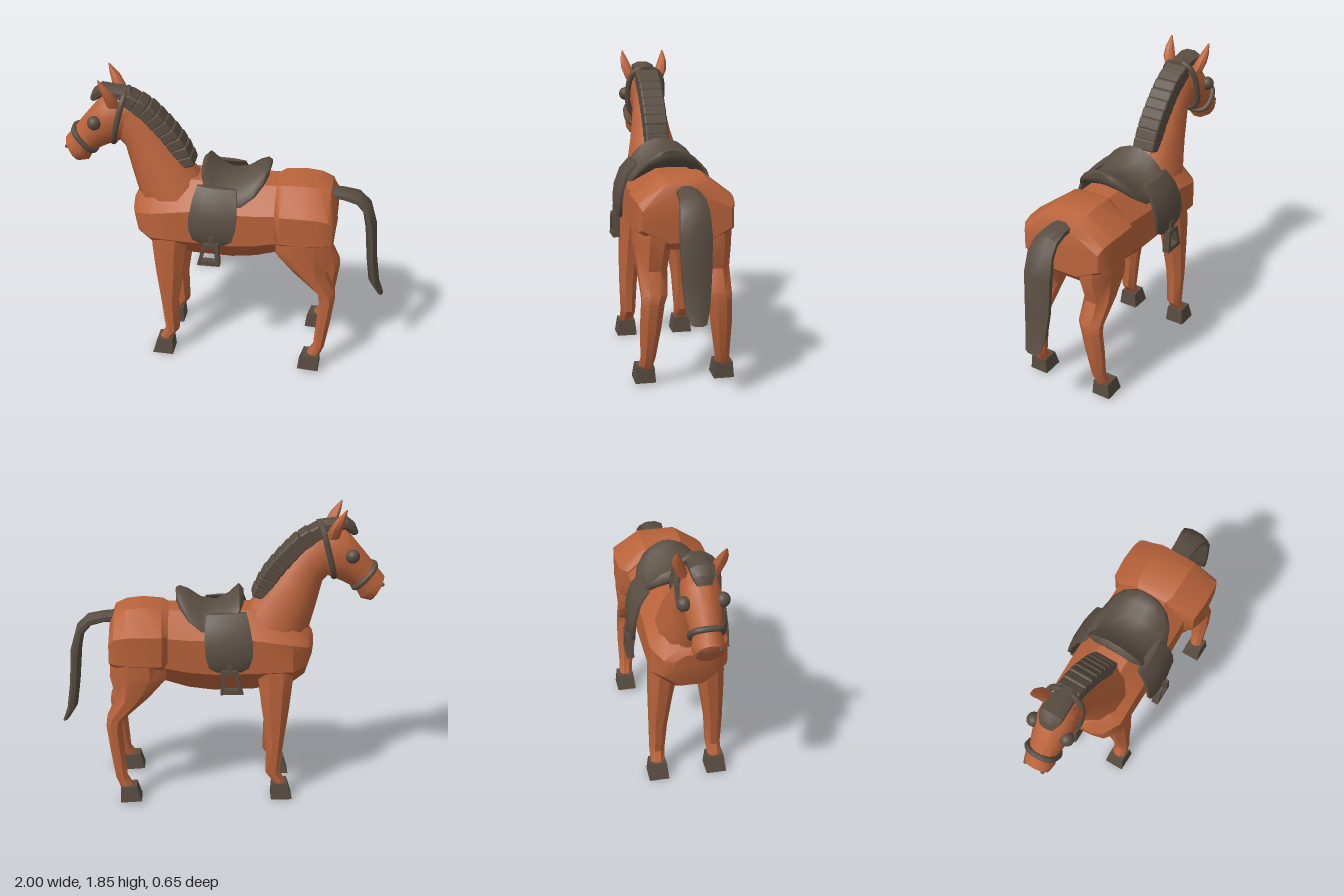
import * as THREE from 'three';
import { toCreasedNormals } from 'three/addons/utils/BufferGeometryUtils.js';
import { RoundedBoxGeometry } from 'three/addons/geometries/RoundedBoxGeometry.js';

const coat = new THREE.MeshStandardMaterial({ color: 0xb9633b });
coat.name = 'chestnutCoat';
const dark = new THREE.MeshStandardMaterial({ color: 0x594d42 });
dark.name = 'darkBrown';

// Skin over cross-sections. Each section is [x1, y1, x2, y2, halfWidth, zCentre]:
// an n-sided ring spanning two profile points and widened along z.
function loft(sections, { n = 8, side = 1, crease = 0.6, bend = null } = {}) {
  const pos = [], idx = [], fit = 1 / Math.cos(Math.PI / n);
  for (const [x1, y1, x2, y2, w, zc = 0] of sections) {
    for (let i = 0; i < n; i++) {
      const a = ((i + 0.5) / n) * Math.PI * 2;
      const c = Math.cos(a) * fit / 2, s = Math.sin(a) * fit;
      pos.push((x1 + x2) / 2 + c * (x1 - x2), (y1 + y2) / 2 + c * (y1 - y2), side * (zc + s * w));
    }
  }
  const last = sections.length - 1;
  for (const k of [0, last]) {
    const [x1, y1, x2, y2, , zc = 0] = sections[k];
    pos.push((x1 + x2) / 2, (y1 + y2) / 2, side * zc);
  }
  const c0 = n * (last + 1);
  for (let i = 0; i < n; i++) {
    const j = (i + 1) % n;
    for (let k = 0; k < last; k++) {
      const a = k * n + i, b = k * n + j;
      idx.push(a, b, b + n, a, b + n, a + n);
    }
    idx.push(c0, j, i, c0 + 1, last * n + i, last * n + j);
  }
  // turn the faces outwards whichever way the sections run
  const v = i => new THREE.Vector3().fromArray(pos, i * 3).sub(origin);
  const origin = new THREE.Vector3().fromArray(pos, c0 * 3);
  let volume = 0;
  for (let t = 0; t < idx.length; t += 3) volume += v(idx[t]).dot(v(idx[t + 1]).cross(v(idx[t + 2])));
  if (volume < 0) idx.reverse();
  const g = new THREE.BufferGeometry();
  g.setAttribute('position', new THREE.Float32BufferAttribute(pos, 3));
  g.setIndex(idx);
  if (bend) {
    const p = g.attributes.position;
    for (let i = 0; i < p.count; i++) p.setY(i, p.getY(i) + bend(p.getX(i), p.getZ(i)));
  }
  return toCreasedNormals(g, crease);
}

// Closed strap looping around the head between two profile points
function strap(x1, y1, x2, y2, w, r) {
  const pts = [];
  for (let i = 0; i < 16; i++) {
    const a = (i / 16) * Math.PI * 2;
    const soft = t => Math.sign(t) * Math.abs(t) ** 0.75;
    const c = soft(Math.cos(a)) / 2;
    pts.push(new THREE.Vector3((x1 + x2) / 2 + c * (x1 - x2), (y1 + y2) / 2 + c * (y1 - y2), soft(Math.sin(a)) * w));
  }
  return new THREE.TubeGeometry(new THREE.CatmullRomCurve3(pts, true), 48, r, 8, true);
}

export function createModel() {
  const horse = new THREE.Group();
  horse.name = 'horse';
  const add = (name, geometry, material) => {
    const m = new THREE.Mesh(geometry, material);
    m.name = name;
    horse.add(m);
    return m;
  };

  // Trunk
  add('barrel', loft([
    [-0.57, 1.04, -0.555, 0.9, 0.11], [-0.54, 1.08, -0.52, 0.79, 0.17], [-0.43, 1.15, -0.44, 0.74, 0.235],
    [-0.2, 1.215, -0.2, 0.7, 0.235], [0.05, 1.215, 0.05, 0.695, 0.235],
    [0.2, 1.215, 0.2, 0.715, 0.235], [0.4, 1.215, 0.38, 0.77, 0.235]]), coat);
  add('hindquarters', loft([
    [0.32, 1.215, 0.33, 0.8, 0.235], [0.36, 1.23, 0.36, 0.79, 0.285], [0.48, 1.24, 0.48, 0.79, 0.295],
    [0.58, 1.23, 0.58, 0.8, 0.29], [0.65, 1.2, 0.65, 0.82, 0.28], [0.68, 1.13, 0.68, 0.86, 0.26]]), coat);

  // Neck and head
  add('neck', loft([
    [-0.58, 1.71, -0.65, 1.41, 0.09], [-0.47, 1.59, -0.62, 1.38, 0.1], [-0.35, 1.43, -0.58, 1.22, 0.125],
    [-0.18, 1.23, -0.53, 1.04, 0.17], [-0.1, 1.1, -0.5, 0.94, 0.19]], { n: 12 }), coat);
  add('head', loft([
    [-0.57, 1.71, -0.61, 1.43, 0.085], [-0.68, 1.715, -0.69, 1.4, 0.11], [-0.77, 1.68, -0.745, 1.375, 0.112],
    [-0.87, 1.56, -0.8, 1.345, 0.095], [-0.94, 1.475, -0.83, 1.32, 0.08], [-0.975, 1.43, -0.86, 1.265, 0.088],
    [-1, 1.4, -0.92, 1.25, 0.078], [-0.995, 1.37, -0.95, 1.29, 0.05]], { n: 12 }), coat);

  // Bridle
  add('noseband', strap(-0.94, 1.475, -0.815, 1.335, 0.09, 0.018), dark);
  add('cheekStrap', strap(-0.605, 1.735, -0.69, 1.405, 0.115, 0.019), dark);

  // Forelock and mane
  add('forelock', loft([
    [-0.58, 1.75, -0.58, 1.66, 0.06], [-0.66, 1.76, -0.67, 1.68, 0.065], [-0.76, 1.77, -0.75, 1.7, 0.07],
    [-0.81, 1.73, -0.77, 1.68, 0.06], [-0.83, 1.68, -0.8, 1.66, 0.04]]), dark);
  const crest = new THREE.CatmullRomCurve3([
    [-0.61, 1.685], [-0.5, 1.63], [-0.4, 1.535], [-0.3, 1.41], [-0.235, 1.28]].map(([x, y]) => new THREE.Vector3(x, y, 0)));
  for (let i = 0; i < 9; i++) {
    const t = (i + 0.5) / 9, p = crest.getPointAt(t), d = crest.getTangentAt(t);
    const lock = add('maneLock', new RoundedBoxGeometry(0.072, 0.105, 0.15, 2, 0.014), dark);
    lock.position.copy(p);
    lock.rotation.z = Math.atan2(d.y, d.x) - 0.1;
  }

  // Tail
  add('tail', loft([
    [0.62, 1.19, 0.62, 1.12, 0.06], [0.72, 1.18, 0.72, 1.12, 0.065], [0.82, 1.16, 0.8, 1.1, 0.075],
    [0.89, 1.09, 0.845, 1.05, 0.085], [0.93, 0.95, 0.865, 0.95, 0.092], [0.945, 0.72, 0.885, 0.72, 0.085],
    [0.97, 0.54, 0.905, 0.57, 0.07], [1, 0.46, 0.96, 0.48, 0.045]], { crease: 0.7 }), dark);

  // Saddle seat, draped over the back
  add('saddleSeat', loft([
    [-0.14, 1.32, -0.13, 1.27, 0.12], [-0.11, 1.35, -0.11, 1.26, 0.19], [-0.05, 1.29, -0.05, 1.23, 0.23],
    [0.03, 1.25, 0.03, 1.2, 0.235], [0.12, 1.265, 0.12, 1.2, 0.23], [0.2, 1.32, 0.2, 1.22, 0.2],
    [0.25, 1.34, 0.25, 1.25, 0.15], [0.275, 1.33, 0.27, 1.27, 0.09]],
  { n: 16, crease: 1, bend: (x, z) => -2 * z * z }), dark);

  // Stirrup frame outline
  const poly = pts => pts.map(p => new THREE.Vector2(...p));
  const frame = new THREE.Shape(poly([[-0.095, 0.9], [0, 0.9], [0.008, 0.75], [-0.132, 0.75]]));
  frame.holes.push(new THREE.Path(poly([[-0.075, 0.875], [-0.103, 0.78], [-0.02, 0.78], [-0.022, 0.875]])));

  // Parts on both sides
  for (const side of [1, -1]) {
    const s = side > 0 ? 'right' : 'left';
    const both = (name, sections, material, opts = {}) => add(s + name, loft(sections, { side, ...opts }), material);

    both('FrontLeg', [
      [-0.45, 0.95, -0.2, 0.95, 0.085, 0.135], [-0.44, 0.78, -0.235, 0.74, 0.085, 0.145],
      [-0.42, 0.6, -0.25, 0.61, 0.072, 0.16], [-0.39, 0.39, -0.285, 0.38, 0.056, 0.175],
      [-0.365, 0.17, -0.28, 0.17, 0.046, 0.18], [-0.41, 0.09, -0.34, 0.09, 0.042, 0.185]], coat);
    both('FrontHoof', [
      [-0.415, 0.108, -0.32, 0.102, 0.052, 0.185], [-0.445, 0.002, -0.313, 0, 0.063, 0.185]], dark, { n: 4 });

    both('HindLeg', [
      [0.34, 0.98, 0.67, 0.98, 0.13, 0.155], [0.335, 0.82, 0.68, 0.84, 0.105, 0.178],
      [0.45, 0.69, 0.645, 0.69, 0.085, 0.185], [0.605, 0.55, 0.705, 0.56, 0.075, 0.19],
      [0.615, 0.49, 0.71, 0.51, 0.066, 0.2], [0.605, 0.36, 0.69, 0.36, 0.06, 0.21],
      [0.59, 0.17, 0.66, 0.17, 0.042, 0.222], [0.545, 0.1, 0.63, 0.1, 0.04, 0.232]], coat);
    both('HindHoof', [
      [0.53, 0.118, 0.63, 0.113, 0.052, 0.236], [0.5, 0.022, 0.632, 0.014, 0.061, 0.236]], dark, { n: 4 });

    both('Ear', [
      [-0.705, 1.66, -0.63, 1.66, 0.03, 0.09], [-0.722, 1.74, -0.645, 1.72, 0.034, 0.115],
      [-0.738, 1.79, -0.68, 1.78, 0.024, 0.128], [-0.747, 1.845, -0.737, 1.84, 0.005, 0.135]], coat);
    const eye = add(s + 'Eye', new THREE.SphereGeometry(0.043, 20, 14), dark);
    eye.position.set(-0.79, 1.553, side * 0.108);
    const nostril = add(s + 'Nostril', new THREE.SphereGeometry(0.012, 10, 8), dark);
    nostril.position.set(-0.985, 1.36, side * 0.058);

    both('SaddleFlap', [
      [-0.15, 1.23, 0.09, 1.22, 0.02, 0.19], [-0.17, 1.16, 0.1, 1.16, 0.022, 0.245],
      [-0.188, 1.06, 0.102, 1.06, 0.022, 0.278], [-0.188, 0.98, 0.095, 0.98, 0.022, 0.288],
      [-0.165, 0.91, 0.075, 0.91, 0.02, 0.285], [-0.12, 0.882, 0.03, 0.882, 0.014, 0.28]], dark, { crease: 0.8 });
    both('StirrupStrap', [
      [-0.06, 0.95, -0.03, 0.95, 0.015, 0.302], [-0.065, 0.88, -0.025, 0.88, 0.015, 0.302]], dark, { n: 4 });
    const stirrup = add(s + 'Stirrup', new THREE.ExtrudeGeometry(frame, { depth: 0.045, bevelEnabled: false }), dark);
    stirrup.position.z = side > 0 ? 0.28 : -0.325;
  }
  return horse;
}
